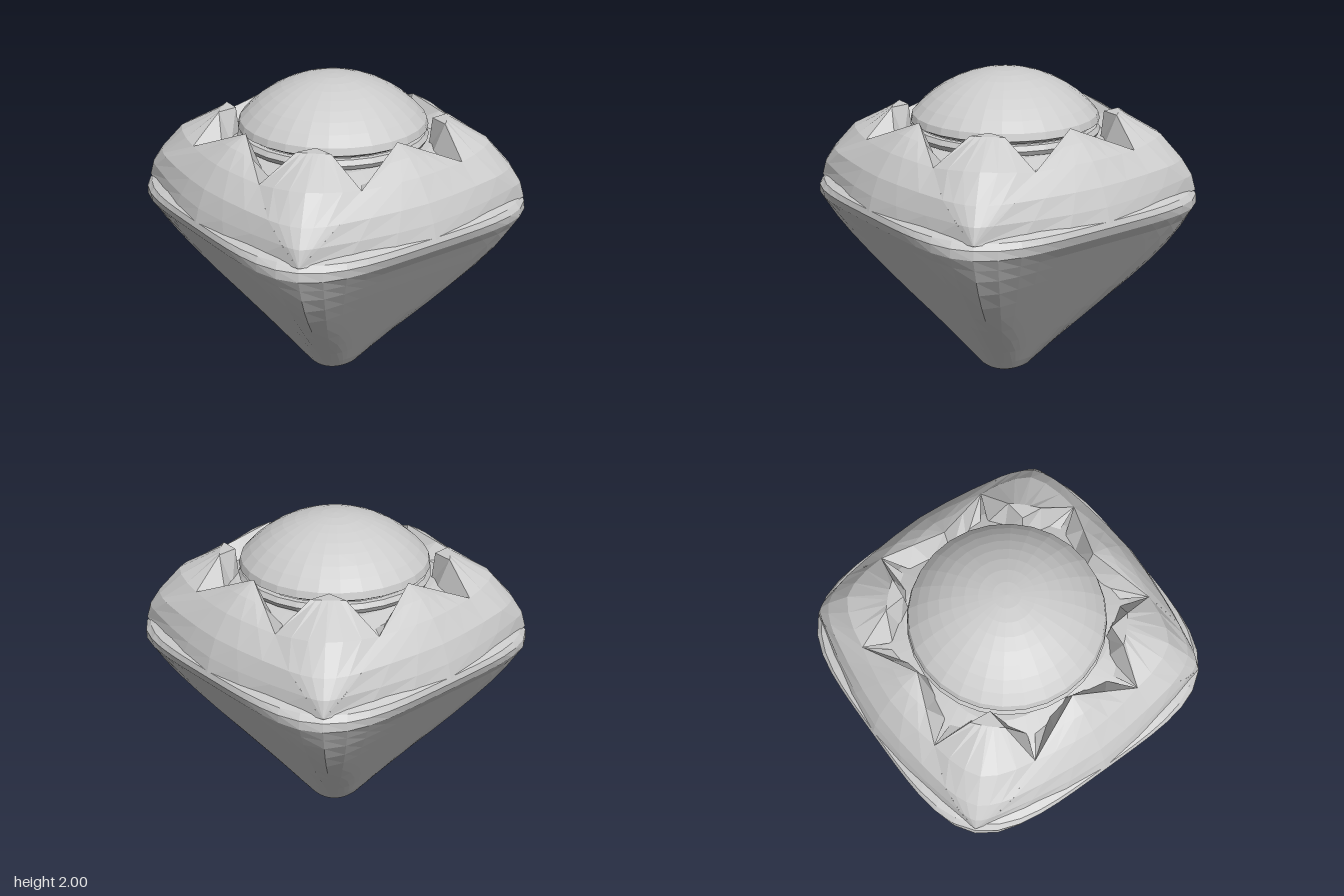
import * as THREE from 'three';

const mat = new THREE.MeshStandardMaterial({ color: 0xcccccc, flatShading: true, side: THREE.DoubleSide });

function add(parent, name, geometry) {
  const mesh = new THREE.Mesh(geometry, mat);
  mesh.name = name;
  parent.add(mesh);
  return mesh;
}

// Lathe whose round sections are squared off into superellipses
function squareLathe(profile, power) {
  const g = new THREE.LatheGeometry(profile.map(([x, y]) => new THREE.Vector2(x, y)), 56);
  const p = g.attributes.position;
  for (let i = 0; i < p.count; i++) {
    const x = p.getX(i), y = p.getY(i), z = p.getZ(i), r = Math.hypot(x, z);
    if (r < 1e-6) continue;
    const n = power(y);
    const k = Math.pow(Math.pow(Math.abs(x / r), n) + Math.pow(Math.abs(z / r), n), -1 / n);
    p.setXYZ(i, x * k, y, z * k);
  }
  g.computeVertexNormals();
  return g;
}

// Grid surface through rows of points
function loft(rows) {
  const n = rows[0].length, idx = [];
  for (let i = 0; i < rows.length - 1; i++)
    for (let j = 0; j < n - 1; j++) {
      const a = i * n + j, b = a + n;
      idx.push(a, b, a + 1, b, b + 1, a + 1);
    }
  const g = new THREE.BufferGeometry();
  g.setAttribute('position', new THREE.Float32BufferAttribute(rows.flat(2), 3));
  g.setIndex(idx);
  g.computeVertexNormals();
  return g;
}

// Petal facing +z; each row is [centre y, centre z, half width, edge y, edge z]
function petal(name, rows, [lowWidth, lowY, lowZ]) {
  const group = new THREE.Group();
  group.name = name;
  const steps = [-1, -0.67, -0.33, 0, 0.33, 0.67, 1];
  add(group, 'petalFace', loft(rows.map(([cy, cz, w, ey, ez]) => steps.map((s) => {
    const t = Math.pow(Math.abs(s), 1.6);
    return [s * w, cy + (ey - cy) * t, cz + (ez - cz) * t];
  }))));
  // Inner wall falling from the upper edge towards the dome
  const right = rows.slice(0, 3).map(([, , w, y, z]) => [w, y, z]);
  const left = right.slice(1).reverse().map(([x, y, z]) => [-x, y, z]);
  const edge = [...left, ...right];
  const low = edge.map((_, i) => {
    const s = i / 2 - 1;
    return [s * lowWidth, lowY, lowZ + 0.06 * Math.abs(s)];
  });
  add(group, 'petalBack', loft([low, edge]));
  return group;
}

export function createModel() {
  const model = new THREE.Group();
  model.name = 'gemBud';

  // Inverted pyramid: blunt round tip, square middle, rounded rim
  add(model, 'base', squareLathe([[0, 0], [0.1, 0.005], [0.16, 0.04], [0.22, 0.12], [0.31, 0.248], [0.4, 0.376],
    [0.5, 0.518], [0.6, 0.66], [0.69, 0.788], [0.78, 0.916], [0.86, 1.03], [0.92, 1.115], [0.98, 1.19],
    [1, 1.245], [0.99, 1.28], [0.94, 1.305]],
  (y) => 1 / (0.08 + 0.17 * Math.pow((y - 0.75) / 0.5, 2))));

  // Core hidden beneath the petals
  add(model, 'core', squareLathe([[0.95, 1.29], [0.84, 1.44], [0.7, 1.54], [0.55, 1.59], [0, 1.6]], () => 3));

  // Central dome, a shallow spherical cap, and the collar below it
  const dome = [new THREE.Vector2(0.53, 1.66), new THREE.Vector2(0.585, 1.69)];
  for (let i = 8; i >= 0; i--) {
    const a = (i / 8) * 0.87;
    dome.push(new THREE.Vector2(0.75 * Math.sin(a), 1.25 + 0.75 * Math.cos(a)));
  }
  add(model, 'dome', new THREE.LatheGeometry(dome, 28));
  const collar = add(model, 'collar', new THREE.TorusGeometry(0.555, 0.035, 6, 28));
  collar.rotation.x = Math.PI / 2;
  collar.position.y = 1.63;

  // Four side petals alternating with four corner petals
  const sideRows = [[1.75, 0.63, 0, 1.75, 0.63], [1.69, 0.74, 0.185, 1.67, 0.705],
    [1.6, 0.835, 0.37, 1.59, 0.78], [1.47, 0.925, 0.58, 1.47, 0.86],
    [1.36, 0.97, 0.72, 1.37, 0.863], [1.27, 0.995, 0.84, 1.27, 0.84]];
  const cornerRows = [[1.75, 0.61, 0, 1.75, 0.61], [1.75, 0.7, 0.1, 1.75, 0.693],
    [1.62, 0.96, 0.29, 1.59, 0.813], [1.47, 1.095, 0.198, 1.47, 1.018],
    [1.37, 1.16, 0.101, 1.37, 1.119], [1.27, 1.188, 0, 1.27, 1.188]];
  for (let i = 0; i < 4; i++) {
    const side = petal('sidePetal', sideRows, [0.26, 1.55, 0.57]);
    side.rotation.y = i * Math.PI / 2;
    const corner = petal('cornerPetal', cornerRows, [0.22, 1.55, 0.59]);
    corner.rotation.y = (i + 0.5) * Math.PI / 2;
    model.add(side, corner);
  }
  return model;
}
